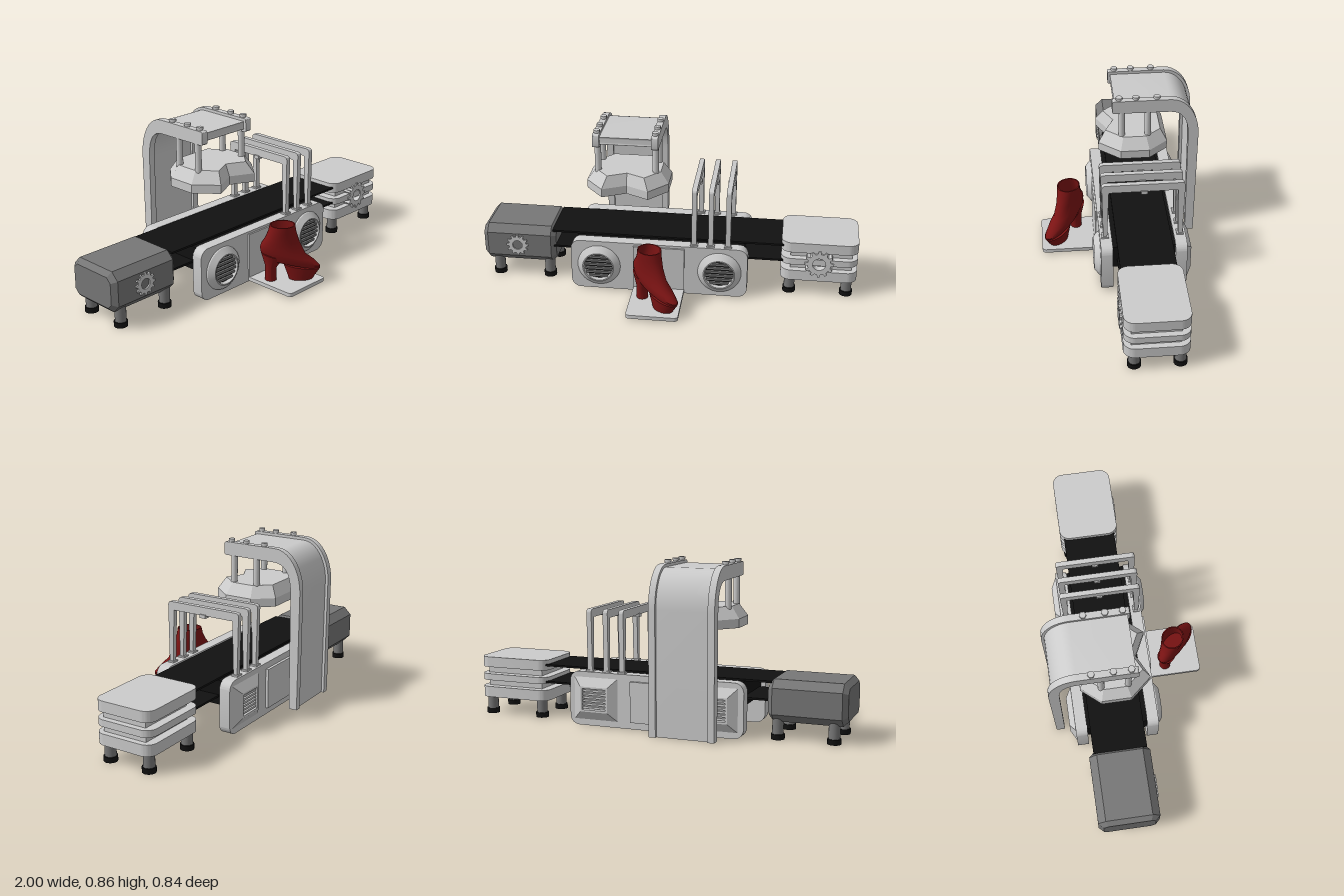
import * as THREE from 'three';
import { toCreasedNormals } from 'three/addons/utils/BufferGeometryUtils.js';

const mat = (color) => new THREE.MeshStandardMaterial({ color, side: THREE.DoubleSide });
const grey = mat(0xcccccc), dark = mat(0x777777), black = mat(0x111111), red = mat(0x7d1414);

export function createModel() {
  const model = new THREE.Group();
  const add = (name, geo, m, x = 0, y = 0, z = 0) => {
    const mesh = new THREE.Mesh(geo, m);
    mesh.name = name;
    mesh.position.set(x, y, z);
    model.add(mesh);
    return mesh;
  };
  const box = (name, m, x0, x1, y0, y1, z0, z1) =>
    add(name, new THREE.BoxGeometry(x1 - x0, y1 - y0, z1 - z0), m, (x0 + x1) / 2, (y0 + y1) / 2, (z0 + z1) / 2);
  const cyl = (name, m, r, x, y0, y1, z, sides = 20) =>
    add(name, new THREE.CylinderGeometry(r, r, y1 - y0, sides), m, x, (y0 + y1) / 2, z);

  // Rounded rectangle centred on the origin
  const roundRect = (w, h, r) => {
    const s = new THREE.Shape(), a = w / 2, b = h / 2;
    s.moveTo(-a + r, -b).lineTo(a - r, -b).absarc(a - r, -b + r, r, -Math.PI / 2, 0)
      .lineTo(a, b - r).absarc(a - r, b - r, r, 0, Math.PI / 2)
      .lineTo(-a + r, b).absarc(-a + r, b - r, r, Math.PI / 2, Math.PI)
      .lineTo(-a, -b + r).absarc(-a + r, -b + r, r, Math.PI, Math.PI * 1.5);
    return s;
  };
  const slab = (shape, depth) => toCreasedNormals(
    new THREE.ExtrudeGeometry(shape, { depth, bevelEnabled: false, curveSegments: 10 }), 0.6);
  // Side profile drawn in (-z, y), extruded along x
  const across = (name, shape, x0, x1) => {
    add(name, slab(shape, x1 - x0), grey, x0).rotation.y = Math.PI / 2;
  };
  // Skin over rings of [x, y, z]; both ends are closed at their centres
  const loft = (rings, crease = 0.6) => {
    const n = rings[0].length;
    const mid = (r) => r.map(() => [0, 1, 2].map((k) => r.reduce((s, p) => s + p[k], 0) / n));
    const all = [mid(rings[0]), ...rings, mid(rings[rings.length - 1])], index = [];
    for (let i = 0; i < all.length - 1; i++) for (let j = 0; j < n; j++) {
      const a = i * n + j, b = i * n + (j + 1) % n;
      index.push(a, a + n, b, b, a + n, b + n);
    }
    const g = new THREE.BufferGeometry();
    g.setAttribute('position', new THREE.Float32BufferAttribute(all.flat(2), 3));
    g.setIndex(index);
    return toCreasedNormals(g, crease);
  };

  // Conveyor belt
  box('beltTop', black, -0.62, 0.66, 0.28, 0.29, -0.235, 0.045);
  box('beltBottom', black, -0.62, 0.66, 0.19, 0.2, -0.235, 0.045);
  box('beltBed', black, -0.48, 0.41, 0.15, 0.275, -0.252, 0.068);

  // Dark end unit with chamfered edges
  const c = 0.025, hw = 0.135, hh = 0.08;
  const end = new THREE.Shape([[-hw, -hh + c], [-hw + c, -hh], [hw - c, -hh], [hw, -hh + c],
    [hw, hh - c], [hw - c, hh], [-hw + c, hh], [-hw, hh - c]].map((p) => new THREE.Vector2(...p)));
  const endGeo = toCreasedNormals(new THREE.ExtrudeGeometry(end,
    { depth: 0.345, bevelThickness: 0.025, bevelSize: 0.025, bevelSegments: 1 }), 0.3);
  add('darkEndUnit', endGeo, dark, -0.975, 0.195, -0.1).rotation.y = Math.PI / 2;

  // Light end unit: three rounded plates around a core
  for (const [y0, y1] of [[0.093, 0.15], [0.185, 0.22], [0.257, 0.312]])
    add('endPlate', slab(roundRect(0.4, 0.32, 0.055), y1 - y0), grey, 0.8, y0, -0.095).rotation.x = -Math.PI / 2;
  box('plateCore', grey, 0.65, 0.97, 0.12, 0.28, -0.21, 0.03);

  // Feet under both end units
  for (const x of [-0.93, -0.65, 0.65, 0.95]) for (const z of [0.012, -0.21]) {
    cyl('footPost', dark, 0.028, x, 0.02, 0.12, z);
    cyl('footPad', black, 0.034, x, 0, 0.027, z);
  }

  // Gears on the front of the end units
  const gear = (x, r, z0, z1) => {
    const s = new THREE.Shape(), teeth = 12;
    for (let i = 0; i < teeth; i++) [[-0.3, 0.8], [-0.15, 1], [0.15, 1], [0.3, 0.8]].forEach(([o, k], j) => {
      const t = (i + o) / teeth * Math.PI * 2;
      s[i + j ? 'lineTo' : 'moveTo'](Math.cos(t) * r * k, Math.sin(t) * r * k);
    });
    s.closePath();
    s.holes.push(new THREE.Path().absarc(0, 0, r * 0.45, 0, Math.PI * 2, true));
    add('gear', slab(s, z1 - z0), grey, x, 0.197, z0);
  };
  gear(-0.812, 0.06, 0.05, 0.068);
  gear(0.8, 0.076, 0.03, 0.073);

  // Side panels with centre plates
  const panel = roundRect(0.935, 0.28, 0.05);
  add('frontPanel', slab(panel, 0.06), grey, -0.037, 0.143, 0.067);
  add('backPanel', slab(panel, 0.06), grey, -0.037, 0.143, -0.31);
  box('frontCentrePlate', grey, -0.17, 0.1, 0.02, 0.27, 0.12, 0.136);
  box('backCentrePlate', grey, -0.17, 0.09, 0.04, 0.25, -0.325, -0.3);

  // Round front vents and square back vents with slats
  const dish = toCreasedNormals(new THREE.LatheGeometry(
    [[0.115, 0], [0.112, 0.008], [0.083, 0.031], [0.077, 0.031], [0.073, 0.008], [0, 0.008]]
      .map((p) => new THREE.Vector2(...p)), 40), 0.5);
  const rect = (w, h, y) => [[w, y, h], [-w, y, h], [-w, y, -h], [w, y, -h]];
  const hood = loft([rect(0.12, 0.11, 0), rect(0.075, 0.065, 0.03), rect(0.065, 0.055, 0.03),
    rect(0.06, 0.05, 0.008)], 0.1);
  for (const x of [-0.355, 0.285]) {
    add('roundVent', dish, grey, x, 0.143, 0.126).rotation.x = Math.PI / 2;
    add('ventBack', new THREE.CircleGeometry(0.073, 32), black, x, 0.143, 0.136);
    add('squareVent', hood, grey, x, 0.145, -0.31).rotation.x = -Math.PI / 2;
    for (let i = -2.5; i <= 2.5; i++) {
      const y = i * 0.022, w = Math.sqrt(0.074 ** 2 - y * y);
      box('ventSlat', dark, x - w, x + w, y + 0.137, y + 0.149, 0.134, 0.148);
      box('backSlat', grey, x - 0.062, x + 0.062, y * 0.8 + 0.14, y * 0.8 + 0.15, -0.334, -0.316);
    }
  }

  // Curved arch: recessed web between two edge rails
  const archShape = (o) => new THREE.Shape()
    .moveTo(-0.03 + o, 0.835 - o).quadraticCurveTo(-0.03 + o, 0.845 - o, -0.018, 0.845 - o)
    .lineTo(0.27, 0.845 - o)
    .bezierCurveTo(0.36 - o, 0.845 - o, 0.42 - o, 0.74, 0.42 - o, 0.63).lineTo(0.415 - o, 0)
    .lineTo(0.37 + o, 0).lineTo(0.366 + o, 0.62)
    .bezierCurveTo(0.366 + o, 0.71, 0.34, 0.77 + o, 0.27, 0.773 + o)
    .lineTo(-0.018, 0.775 + o).quadraticCurveTo(-0.03 + o, 0.775 + o, -0.03 + o, 0.785 + o);
  across('archWeb', archShape(0.015), -0.37, -0.07);
  across('archRail', archShape(0), -0.39, -0.355);
  across('archRail', archShape(0), -0.085, -0.05);
  for (const x of [-0.371, -0.068]) {
    for (const z of [-0.005, -0.092, -0.2]) {
      cyl('boltWasher', grey, 0.013, x, 0.84, 0.852, z);
      cyl('boltHead', grey, 0.018, x, 0.85, 0.862, z, 6);
    }
    for (const z of [-0.02, -0.155]) cyl('pressRod', grey, 0.017, x, 0.61, 0.79, z);
  }

  // Press head: notched octagon, tapered above and hollow below
  const outline = [[0.12, 0.19], [0, 0.13], [-0.12, 0.19], [-0.215, 0.08], [-0.215, -0.07],
    [-0.13, -0.17], [0.13, -0.17], [0.215, -0.07], [0.215, 0.08]].reverse();
  const headRing = (k, y) => outline.map(([x, z]) => [x * k - 0.215, y, z * k - 0.09]);
  add('pressHead', loft([headRing(0.86, 0.57), headRing(0.88, 0.53), headRing(1, 0.53), headRing(1, 0.575),
    headRing(0.8, 0.635)], 0.2), grey);

  // Three hoops over the belt
  const hoop = new THREE.Shape()
    .moveTo(-0.11, 0.28).lineTo(-0.115, 0.585).quadraticCurveTo(-0.115, 0.605, -0.095, 0.605)
    .lineTo(0.28, 0.605).quadraticCurveTo(0.3, 0.605, 0.3, 0.585).lineTo(0.293, 0.28)
    .lineTo(0.272, 0.28).lineTo(0.265, 0.562).lineTo(-0.08, 0.562).lineTo(-0.09, 0.28);
  for (const x of [0.148, 0.235, 0.325]) {
    across('hoop', hoop, x - 0.013, x + 0.013);
    box('hoopSensor', grey, x - 0.02, x + 0.02, 0.55, 0.568, -0.112, -0.08);
    for (const z of [0.1, -0.282]) box('hoopBase', grey, x - 0.02, x + 0.02, 0.275, 0.291, z - 0.018, z + 0.018);
  }

  // Display tray
  add('tray', slab(roundRect(0.27, 0.31, 0.02), 0.02), grey, -0.035, 0.009, 0.265).rotation.x = -Math.PI / 2;

  // High-heeled boot: rings of [back height, front height, back, front, half width]
  const boot = (rows) => loft(rows.map(([yb, yf, u0, u1, w]) => Array.from({ length: 28 }, (_, i) => {
    const t = i / 28 * Math.PI * 2, k = (1 + Math.cos(t)) / 2;
    const u = u0 + (u1 - u0) * k, v = Math.sin(t) * w;
    return [u * 0.77 - v * 0.64 - 0.035, yb + (yf - yb) * k, u * 0.64 + v * 0.77 + 0.29];
  })), 0.8);
  add('bootUpper', boot([[0.155, 0.08, -0.13, 0.157, 0.045], [0.19, 0.095, -0.148, 0.163, 0.052],
    [0.215, 0.125, -0.152, 0.135, 0.052], [0.235, 0.165, -0.146, 0.085, 0.05], [0.265, 0.235, -0.125, 0.052, 0.05],
    [0.3, 0.29, -0.11, 0.035, 0.055], [0.333, 0.333, -0.102, 0.028, 0.058], [0.333, 0.333, -0.096, 0.022, 0.052],
    [0.24, 0.2, -0.12, 0.045, 0.044]]), red);
  add('bootSole', boot([[0.029, 0.029, 0, 0.125, 0.04], [0.115, 0.085, -0.03, 0.163, 0.051]]), red);
  add('bootHeel', boot([[0.029, 0.029, -0.125, -0.065, 0.03], [0.11, 0.1, -0.125, -0.065, 0.032],
    [0.185, 0.15, -0.147, -0.03, 0.046]]), red);

  return model;
}
